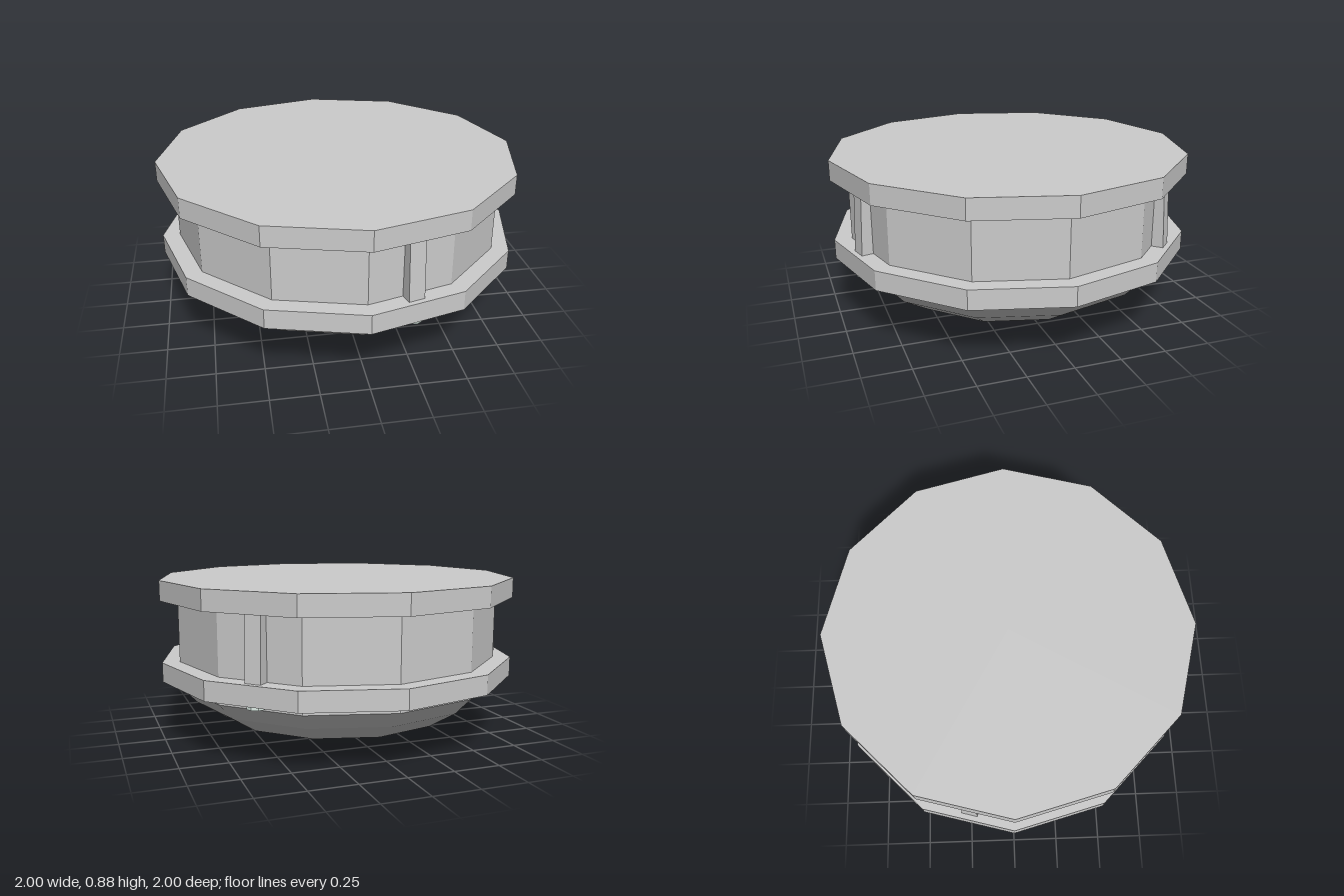
import * as THREE from 'three';

const SIDES = 12;
const grey = new THREE.MeshStandardMaterial({ color: 0xcccccc, flatShading: true });
const pale = new THREE.MeshStandardMaterial({ color: 0xdcebe4, flatShading: true });

function addMesh(parent, name, geometry, material, x, y, z) {
  const mesh = new THREE.Mesh(geometry, material);
  mesh.name = name;
  mesh.position.set(x, y, z);
  parent.add(mesh);
  return mesh;
}

// Upright twelve-sided disc between two heights
function addDisc(parent, name, radius, bottom, top) {
  const geometry = new THREE.CylinderGeometry(radius, radius, top - bottom, SIDES);
  return addMesh(parent, name, geometry, grey, 0, (bottom + top) / 2, 0);
}

export function createModel() {
  const model = new THREE.Group();
  model.name = 'flangedDrum';

  // Wide rims above and below the waist
  addDisc(model, 'upperFlange', 1, 0.77, 0.88);
  addDisc(model, 'lowerFlange', 1, 0.327, 0.433);

  // Drum waist running down into a faceted, tapering bowl
  const profile = [[0, 0.1], [0.66, 0.1], [0.82, 0.2], [0.905, 0.29], [0.905, 0.8], [0, 0.8]]
    .map(([r, y]) => new THREE.Vector2(r, y));
  addMesh(model, 'drumAndBowl', new THREE.LatheGeometry(profile, SIDES), grey, 0, 0, 0);

  // Short spigot underneath
  addDisc(model, 'spigot', 0.095, 0, 0.12);

  // Three slightly leaning posts, each with a bolt head under the lower flange
  for (let i = 0; i < 3; i++) {
    const post = new THREE.Group();
    post.name = 'postAssembly' + (i + 1);
    post.rotation.y = Math.PI / 12 + (i * Math.PI * 2) / 3;

    const lean = new THREE.Group();
    lean.name = 'leaningPost';
    lean.position.set(0, 0.6, 0.89);
    lean.rotation.x = -0.044;
    addMesh(lean, 'post', new THREE.BoxGeometry(0.088, 0.42, 0.08), grey, 0, 0, 0);
    addMesh(lean, 'boltHead', new THREE.CylinderGeometry(0.048, 0.048, 0.06, 8), pale, 0, -0.265, 0.005);
    post.add(lean);
    model.add(post);
  }

  return model;
}
